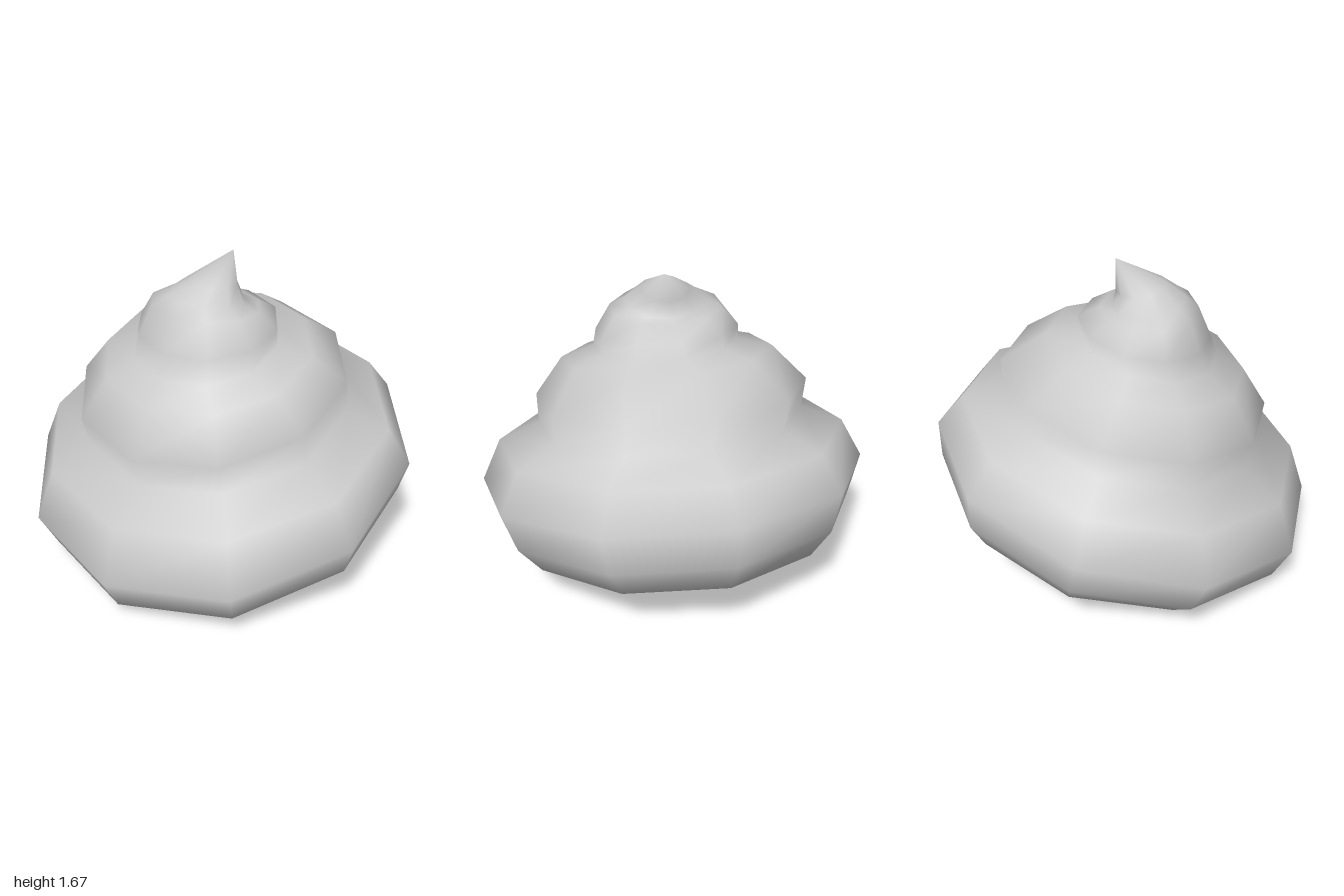
import * as THREE from 'three';

const SIDES = 10;

// Tilted rings from bottom to top:
// [front z, front y, back z, back y, half width, centre x, twist]
const RINGS = [
  [0.36, 0.065, -0.62, 0.3, 0.45, 0, 0.05],
  // bottom coil
  [0.75, 0.0, -0.91, 0.4, 0.84, 0, 0.05],
  [0.91, 0.08, -0.99, 0.58, 0.96, 0, 0.05],
  [1.0, 0.26, -0.99, 0.79, 1.03, 0, 0.05],
  [0.91, 0.54, -0.85, 0.95, 0.92, 0, 0.05],
  [0.7, 0.68, -0.63, 1.0, 0.7, 0, 0.05],
  // middle coil
  [0.74, 0.84, -0.64, 1.16, 0.71, -0.01, 0.05],
  [0.61, 1.06, -0.4, 1.3, 0.55, 0, 0.03],
  [0.47, 1.15, -0.23, 1.3, 0.38, 0, 0],
  // top coil
  [0.43, 1.27, -0.24, 1.38, 0.37, 0, -0.03],
  [0.36, 1.44, -0.13, 1.43, 0.29, 0, -0.05],
  [0.3, 1.49, -0.07, 1.44, 0.21, 0, -0.05],
  // curled peak
  [0.2, 1.56, -0.05, 1.52, 0.13, 0.015, 0],
];

// Skins the rings and closes both ends with a fan
function swirlGeometry() {
  const pos = [];
  const index = [];
  for (const [zf, yf, zb, yb, rx, cx, twist] of RINGS) {
    for (let j = 0; j < SIDES; j++) {
      const a = (j / SIDES) * Math.PI * 2 + twist;
      const t = (1 + Math.cos(a)) / 2; // 1 at the front, 0 at the back
      pos.push(cx + rx * Math.sin(a), yb + (yf - yb) * t, zb + (zf - zb) * t);
    }
  }
  const bottom = RINGS.length * SIDES;
  const tip = bottom + 1;
  pos.push(0, 0.18, -0.12, 0.05, 1.67, -0.05);

  const last = (RINGS.length - 1) * SIDES;
  for (let j = 0; j < SIDES; j++) {
    const k = (j + 1) % SIDES;
    index.push(bottom, k, j, last + j, last + k, tip);
    for (let i = 0; i < RINGS.length - 1; i++) {
      const lo = i * SIDES;
      const hi = lo + SIDES;
      index.push(lo + j, lo + k, hi + k, lo + j, hi + k, hi + j);
    }
  }
  const g = new THREE.BufferGeometry();
  g.setAttribute('position', new THREE.Float32BufferAttribute(pos, 3));
  g.setIndex(index);
  g.computeVertexNormals();
  return g;
}

export function createModel() {
  const group = new THREE.Group();
  group.name = 'swirlPile';
  const swirl = new THREE.Mesh(
    swirlGeometry(),
    new THREE.MeshStandardMaterial({ color: 0xcccccc })
  );
  swirl.name = 'swirl';
  group.add(swirl);
  return group;
}
